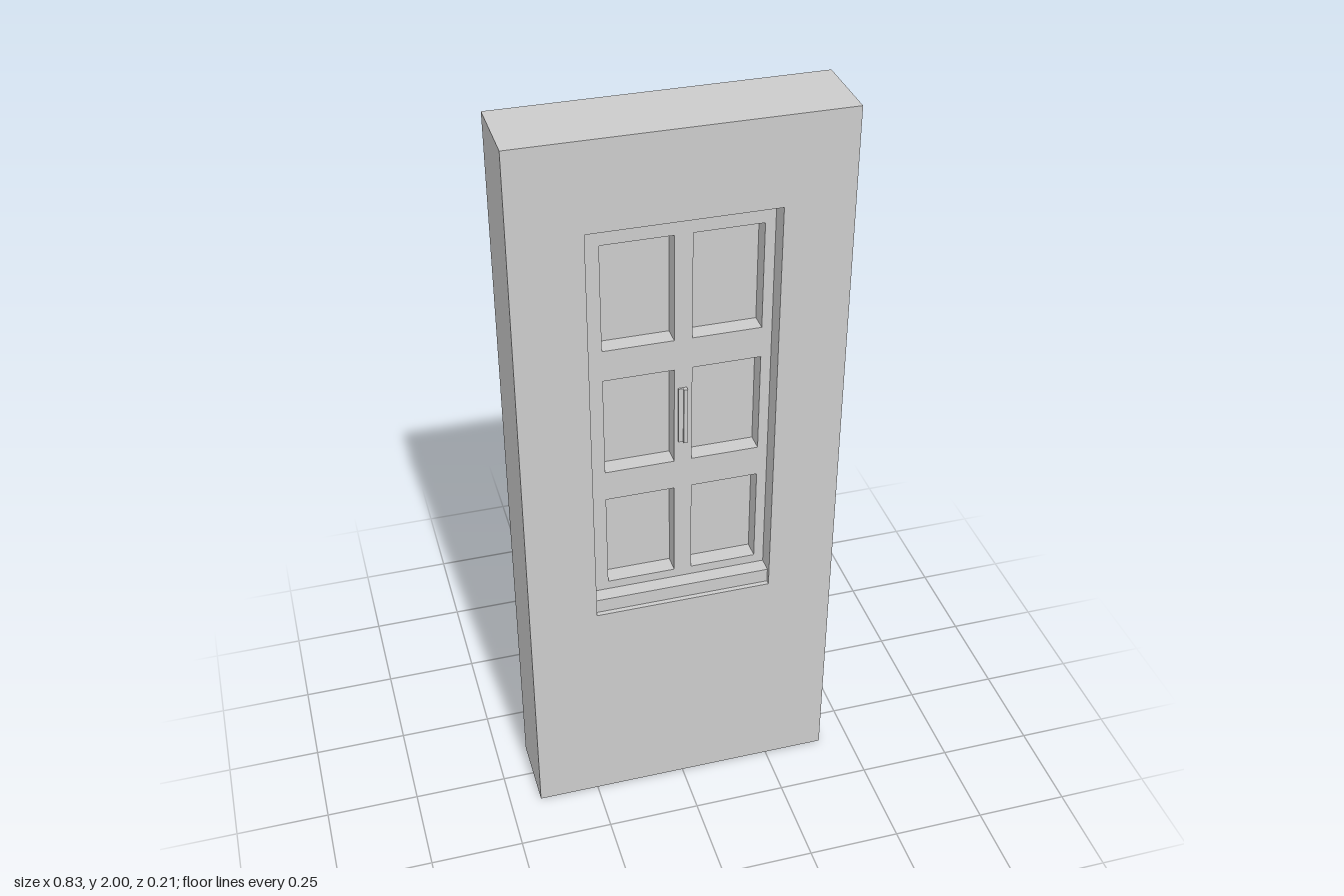
import * as THREE from 'three';

const grey = new THREE.MeshStandardMaterial({ color: 0xcccccc, flatShading: true });

// Rectangle outline as a Shape or Path
function rect(Type, x0, x1, y0, y1) {
  const p = new Type();
  p.moveTo(x0, y0);
  p.lineTo(x1, y0);
  p.lineTo(x1, y1);
  p.lineTo(x0, y1);
  p.closePath();
  return p;
}

// Upright slab between two depths, pierced by rectangular holes
function slab(name, outline, holes, z0, z1) {
  const shape = rect(THREE.Shape, ...outline);
  shape.holes = holes.map((h) => rect(THREE.Path, ...h));
  const geometry = new THREE.ExtrudeGeometry(shape, { depth: z1 - z0, bevelEnabled: false });
  geometry.translate(0, 0, z0);
  const mesh = new THREE.Mesh(geometry, grey);
  mesh.name = name;
  return mesh;
}

export function createModel() {
  const model = new THREE.Group();
  model.name = 'wallWithWindow';

  // Wall with the window opening
  const opening = [-0.235, 0.238, 0.64, 1.77];
  model.add(slab('wall', [-0.415, 0.415, 0, 2], [opening], -0.103, 0.103));

  // Window frame with two columns of three panes
  const columns = [[-0.19, -0.01], [0.036, 0.212]];
  const rows = [[0.705, 0.975], [1.06, 1.335], [1.42, 1.707]];
  const panes = columns.flatMap((c) => rows.map((r) => [...c, ...r]));
  model.add(slab('windowFrame', opening, panes, -0.058, 0.05));

  // Recessed panes
  const glazing = new THREE.Group();
  glazing.name = 'windowPanes';
  panes.forEach((p) => glazing.add(slab('pane', p, [], -0.02, 0.003)));
  model.add(glazing);

  // Sill at the foot of the opening
  model.add(slab('sill', [-0.235, 0.238, 0.64, 0.68], [], 0.05, 0.09));

  // Handle: plate and grip on the middle bar
  const handle = new THREE.Group();
  handle.name = 'handle';
  handle.add(slab('handlePlate', [0, 0.022, 1.12, 1.28], [], 0.05, 0.055));
  handle.add(slab('handleGrip', [0.012, 0.022, 1.12, 1.28], [], 0.055, 0.062));
  model.add(handle);

  return model;
}
